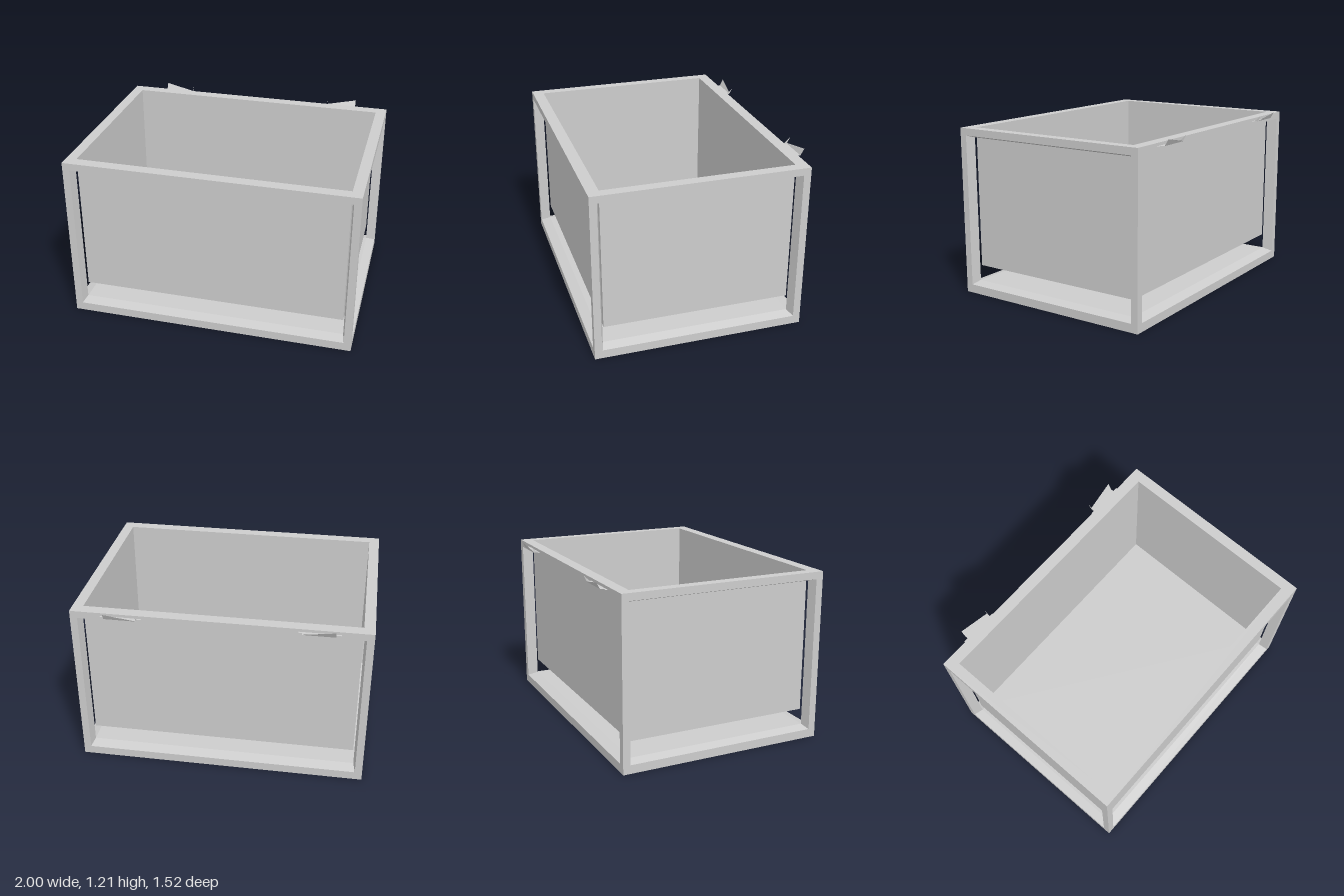
import * as THREE from 'three';

const grey = new THREE.MeshStandardMaterial({ color: 0xcccccc });
grey.name = 'grey';
const greySheet = new THREE.MeshStandardMaterial({ color: 0xcccccc, side: THREE.DoubleSide });
greySheet.name = 'grey sheet';

const HEIGHT = 1.18;

// Four plan corners at one height, counter-clockwise seen from above
const plan = (x, front, back, y) =>
  [[-x, front], [x, front], [x, back], [-x, back]].map(([px, pz]) => new THREE.Vector3(px, y, pz));

// Quads joining an outer loop to an inner loop
const ring = (a, b) => a.map((p, i) => {
  const j = (i + 1) % a.length;
  return [p, a[j], b[j], b[i]];
});

// Flat-faced mesh from a list of convex polygons
function facesMesh(name, faces, material = grey) {
  const points = [];
  for (const f of faces) {
    for (let i = 1; i < f.length - 1; i++) points.push(f[0], f[i], f[i + 1]);
  }
  const geometry = new THREE.BufferGeometry().setFromPoints(points);
  geometry.computeVertexNormals();
  const mesh = new THREE.Mesh(geometry, material);
  mesh.name = name;
  return mesh;
}

// Upright rectangle between two plan corners
const upright = (p, q, y0, y1) =>
  [[p, y0], [q, y0], [q, y1], [p, y1]].map(([c, y]) => new THREE.Vector3(c.x, y, c.z));

function frame() {
  const group = new THREE.Group();
  group.name = 'frame';
  const outer = plan(1, 0.76, -0.7, 0);
  const inner = plan(0.935, 0.69, -0.625, 0.08);
  const names = ['front', 'left', 'back', 'right'];

  // Four sides, each with a bevelled window
  names.forEach((side, i) => {
    const p = outer[i], q = outer[(i + 1) % 4];
    const inset = q.clone().sub(p).setLength(0.05);
    const face = upright(p, q, 0, HEIGHT);
    const opening = upright(p.clone().add(inset), q.clone().sub(inset), 0.06, 1.13);
    const lip = upright(inner[i], inner[(i + 1) % 4], 0.08, 1.11);
    group.add(facesMesh(side + 'Frame', [...ring(face, opening), ...ring(opening, lip)]));
  });

  // Top rim, underside of the rim, floor and base
  const hole = (y) => plan(0.927, 0.68, -0.62, y);
  group.add(facesMesh('topRim', ring(plan(1, 0.76, -0.7, HEIGHT), hole(HEIGHT))));
  group.add(facesMesh('rimUnderside',
    ring(plan(0.935, 0.69, -0.625, 1.11).reverse(), hole(1.11).reverse())));
  group.add(facesMesh('floor', [inner]));
  group.add(facesMesh('base', [[...outer].reverse()]));
  return group;
}

// Open-topped thin tub hanging inside the frame
function tub() {
  const bottom = plan(0.927, 0.68, -0.62, 0.19);
  const top = plan(0.927, 0.68, -0.62, HEIGHT);
  return facesMesh('tub', [...ring(bottom, top), [...bottom].reverse()], greySheet);
}

// Thin folded clip behind the back rim; s is the side of the model
function clip(s) {
  const v = (x, y, z) => new THREE.Vector3(s * x, y, z);
  const flat = (x0, x1, z0, z1) =>
    [v(x0, 1.16, z0), v(x1, 1.16, z0), v(x1, 1.16, z1), v(x0, 1.16, z1)];
  return facesMesh(s > 0 ? 'leftClip' : 'rightClip', [
    flat(0.515, 0.79, -0.7, -0.714),
    flat(0.54, 0.757, -0.714, -0.737),
    [v(0.54, 1.16, -0.737), v(0.757, 1.16, -0.737), v(0.757, 1.205, -0.762), v(0.54, 1.163, -0.74)],
    [v(0.54, 1.16, -0.712), v(0.54, 1.16, -0.737), v(0.54, 1.203, -0.76)],
  ], greySheet);
}

export function createModel() {
  const model = new THREE.Group();
  model.name = 'framedTub';
  model.add(frame(), tub(), clip(1), clip(-1));
  return model;
}
